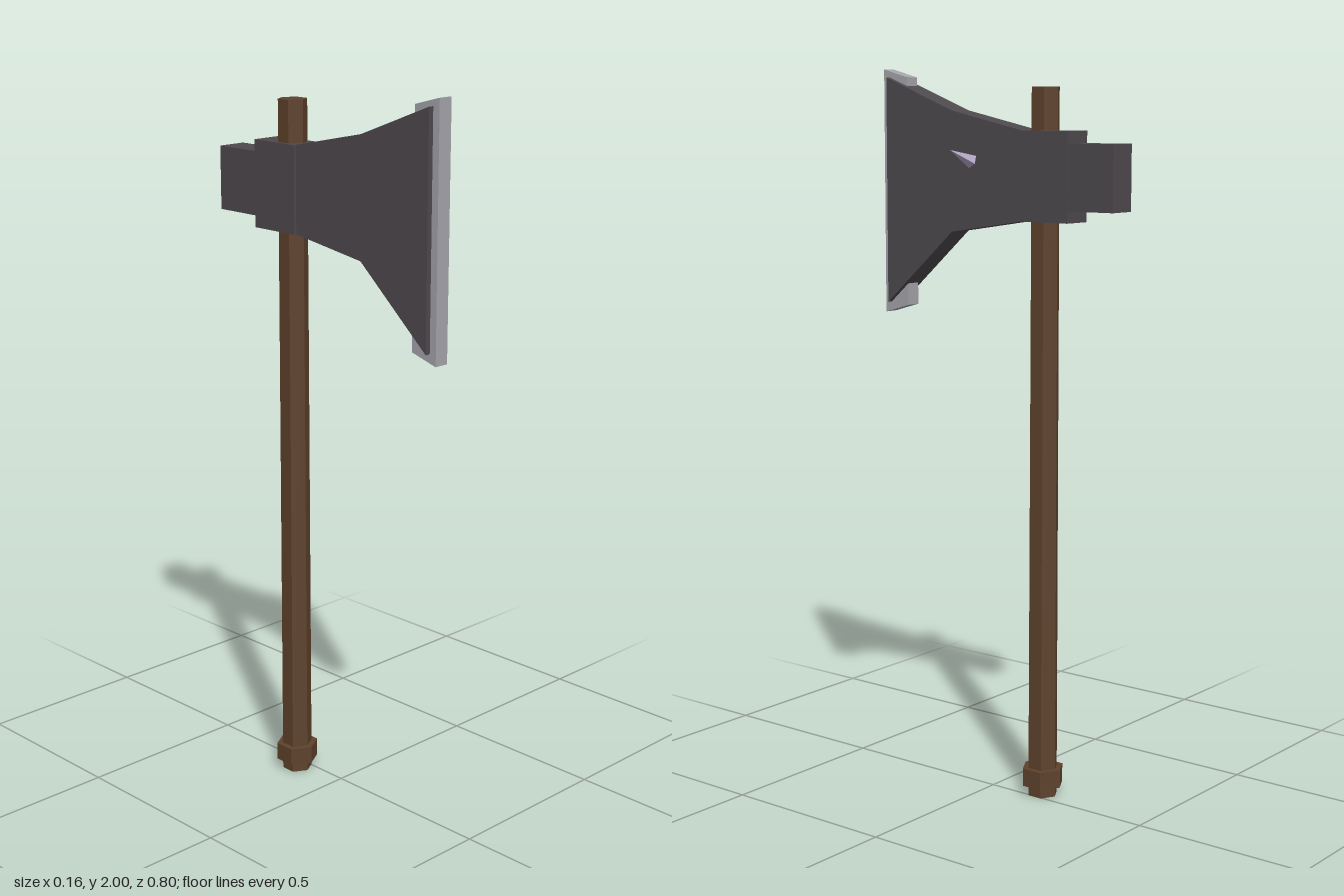
import * as THREE from 'three';

const material = (name, color) => {
  const m = new THREE.MeshStandardMaterial({ color, flatShading: true });
  m.name = name;
  return m;
};

export function createModel() {
  const wood = material('brown wood', 0x5e422c);
  const iron = material('dark iron', 0x4e494d);
  const steel = material('bright steel', 0xa5a4ab);
  const crystal = material('pale violet', 0xb2a6c6);

  const group = new THREE.Group();
  const midX = -0.033, shaftZ = -0.15;

  const add = (name, geometry, mat) => {
    const mesh = new THREE.Mesh(geometry, mat);
    mesh.name = name;
    group.add(mesh);
    return mesh;
  };

  // Hexagonal wooden section standing on the shaft axis
  const hex = (name, rTop, rBottom, y0, y1) =>
    add(name, new THREE.CylinderGeometry(rTop, rBottom, y1 - y0, 6), wood)
      .position.set(midX, (y0 + y1) / 2, shaftZ);

  // Slab cut from a side profile of [z, y] points, centred on the head's middle plane
  const slab = (name, points, width, mat) => {
    const shape = new THREE.Shape(points.map(([z, y]) => new THREE.Vector2(z, y)));
    const geometry = new THREE.ExtrudeGeometry(shape, { depth: width, bevelEnabled: false });
    geometry.translate(0, 0, -width / 2).rotateY(-Math.PI / 2);
    add(name, geometry, mat).position.x = midX;
  };

  const block = (name, width, z0, z1, y0, y1) =>
    slab(name, [[z0, y0], [z1, y0], [z1, y1], [z0, y1]], width, iron);

  // Handle
  hex('shaft', 0.04, 0.043, 0, 1.95);
  hex('pommelRing', 0.06, 0.06, 0.03, 0.08);

  // Axe head
  block('socket', 0.087, -0.254, -0.1, 1.597, 1.836);
  block('hammerPoll', 0.083, -0.397, -0.25, 1.629, 1.804);
  slab('blade', [
    [-0.105, 1.598], [0.142, 1.56], [0.377, 1.352],
    [0.377, 1.978], [0.142, 1.888], [-0.105, 1.835],
  ], 0.073, iron);
  slab('cuttingEdge', [[0.315, 1.346], [0.398, 1.322], [0.398, 2], [0.315, 1.978]], 0.043, steel);

  // Small shard standing out of the left cheek
  const base = new THREE.Vector3(0.011, 1.753, 0.066);
  const tip = new THREE.Vector3(0.08, 1.784, 0.085);
  const axis = tip.clone().sub(base);
  const length = axis.length();
  const shard = add('shard', new THREE.ConeGeometry(0.02, length, 5).translate(0, length / 2, 0), crystal);
  shard.position.copy(base);
  shard.quaternion.setFromUnitVectors(new THREE.Vector3(0, 1, 0), axis.normalize());

  return group;
}
